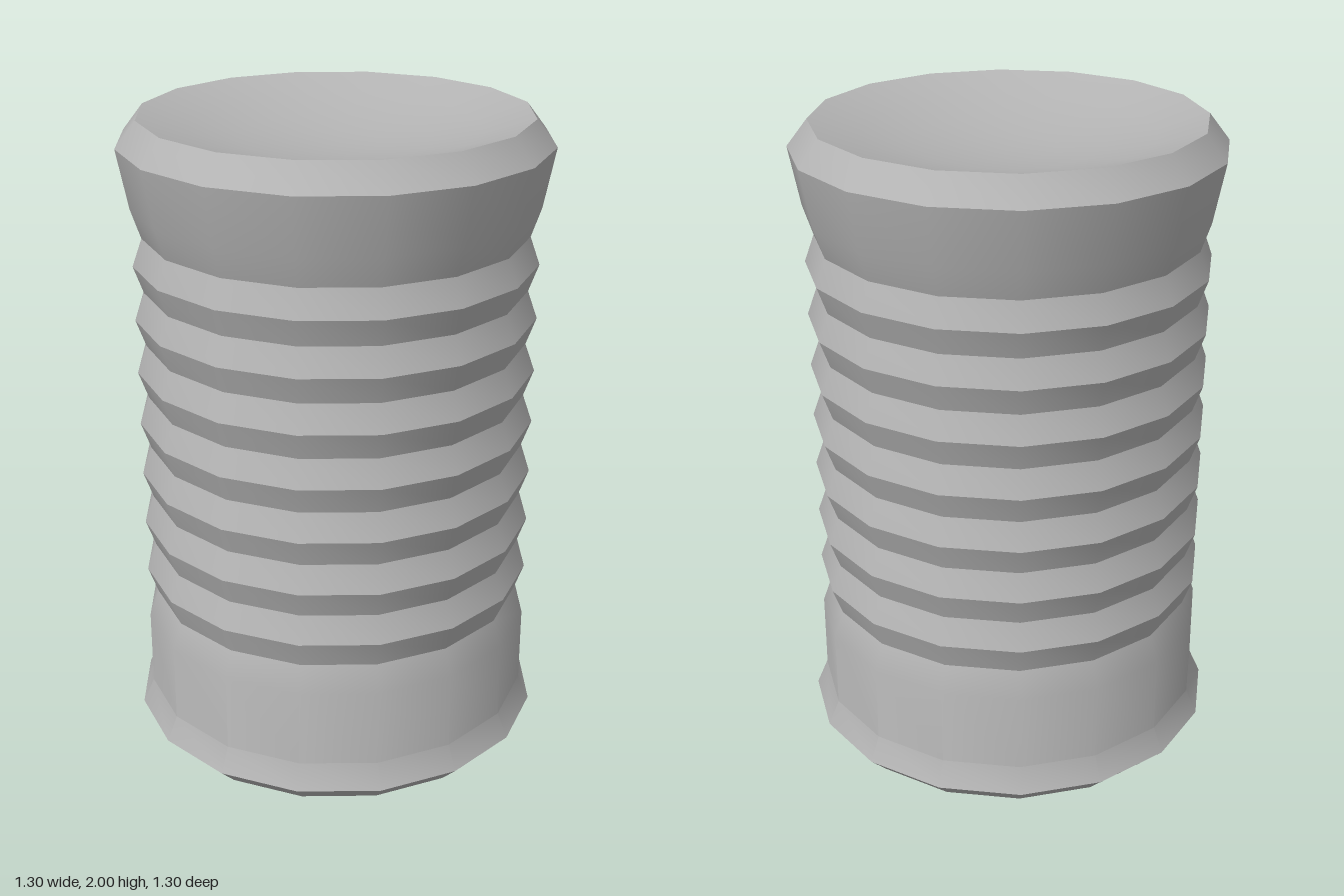
import * as THREE from 'three';
import { toCreasedNormals } from 'three/addons/utils/BufferGeometryUtils.js';

const SIDES = 16;
const VALLEY = 0.585, RIDGE = 0.615, RIM = 0.65, END = 0.588;
const RIBS = 7, RIB_START = 0.47, RIB_END = 1.65;

export function createModel() {
  const group = new THREE.Group();
  const metal = new THREE.MeshStandardMaterial({ color: 0xb4b4b4 });
  metal.name = 'grey metal';

  // Turn a profile into a low-poly ring, smooth around and sharp at the folds
  function addTurned(name, profile) {
    const points = profile.map(([r, y]) => new THREE.Vector2(r, y));
    const geometry = new THREE.LatheGeometry(points, SIDES);
    const mesh = new THREE.Mesh(toCreasedNormals(geometry, Math.PI / 6), metal);
    mesh.name = name;
    group.add(mesh);
  }

  // Lower collar with its bevelled foot
  addTurned('lowerCollar', [[END, 0], [RIM, 0.062], [RIDGE, 0.14], [RIDGE, 0.385], [VALLEY, RIB_START]]);

  // Ribbed middle: alternating valleys and ridges
  const ribs = [];
  for (let i = 0; i <= RIBS * 2; i++) {
    ribs.push([i % 2 ? RIDGE : VALLEY, RIB_START + (RIB_END - RIB_START) * i / (RIBS * 2)]);
  }
  addTurned('ribbedBody', ribs);

  // Flared upper collar with its bevelled lip
  addTurned('upperCollar', [[VALLEY, RIB_END], [RIDGE, 1.74], [RIM, 1.92], [END, 2]]);

  // Shallow dished ends
  const dish = (rimY, depth) => [1, 0.75, 0.5, 0.25, 0].map(t => [END * t, rimY + depth * (1 - t * t)]);
  addTurned('topDish', dish(2, -0.1));
  addTurned('bottomDish', dish(0, 0.06).reverse());

  return group;
}
